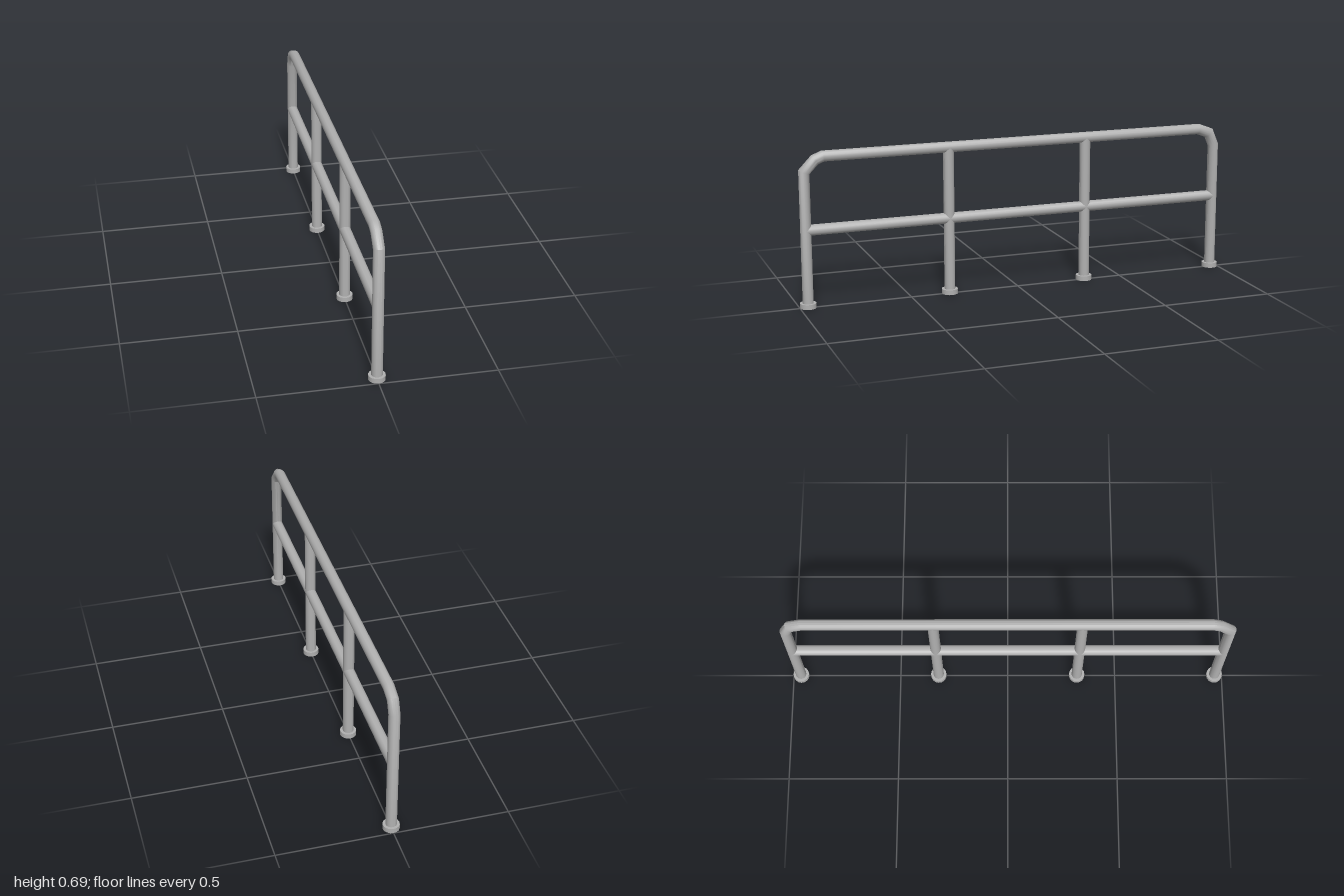
import * as THREE from 'three';
import { toCreasedNormals } from 'three/addons/utils/BufferGeometryUtils.js';

const R = 0.024, SIDES = 16;
const steel = new THREE.MeshStandardMaterial({ color: 0xb0b0b0, side: THREE.DoubleSide });
steel.name = 'grey steel';

// Round pipe with mitred joints along [z, y] points in the x = 0 plane
function pipe(name, points) {
  const p = points.map(([z, y]) => new THREE.Vector2(z, y));
  const pos = [], idx = [];
  p.forEach((c, i) => {
    const a = (i ? c.clone().sub(p[i - 1]) : p[1].clone().sub(c)).normalize();
    const b = (i < p.length - 1 ? p[i + 1].clone().sub(c) : a.clone()).normalize();
    const t = a.clone().add(b).normalize();
    const stretch = 1 / t.dot(a);
    for (let s = 0; s < SIDES; s++) {
      const g = (s / SIDES) * Math.PI * 2;
      const k = Math.sin(g) * R * stretch;
      pos.push(Math.cos(g) * R, c.y + t.x * k, c.x - t.y * k);
      if (i) {
        const n = (s + 1) % SIDES, lo = (i - 1) * SIDES, hi = i * SIDES;
        idx.push(lo + s, lo + n, hi + s, lo + n, hi + n, hi + s);
      }
    }
  });
  const geo = new THREE.BufferGeometry();
  geo.setAttribute('position', new THREE.Float32BufferAttribute(pos, 3));
  geo.setIndex(idx);
  const mesh = new THREE.Mesh(toCreasedNormals(geo, 0.75), steel);
  mesh.name = name;
  return mesh;
}

export function createModel() {
  const group = new THREE.Group();
  group.name = 'railing';
  const end = 0.964, inner = 0.322, top = 0.664, mid = 0.345;

  // Outer hoop: both end posts and the bent top rail
  group.add(pipe('outerHoop', [
    [end, 0], [end, 0.6], [0.916, 0.65], [0.88, top],
    [-0.885, top], [-0.94, 0.643], [-end, 0.587], [-end, 0],
  ]));

  // Middle rail and inner posts
  group.add(pipe('middleRail', [[end, mid], [-end, mid]]));
  for (const z of [inner, -inner]) group.add(pipe('innerPost', [[z, 0], [z, top]]));

  // Foot collars, hollow where the pipe passes through
  const profile = [[R, 0], [0.036, 0], [0.036, 0.022], [R, 0.022]].map(([x, y]) => new THREE.Vector2(x, y));
  const collarGeo = toCreasedNormals(new THREE.LatheGeometry(profile, SIDES), 0.75);
  for (const z of [end, inner, -inner, -end]) {
    const collar = new THREE.Mesh(collarGeo, steel);
    collar.name = 'footCollar';
    collar.position.z = z;
    group.add(collar);
  }
  return group;
}
